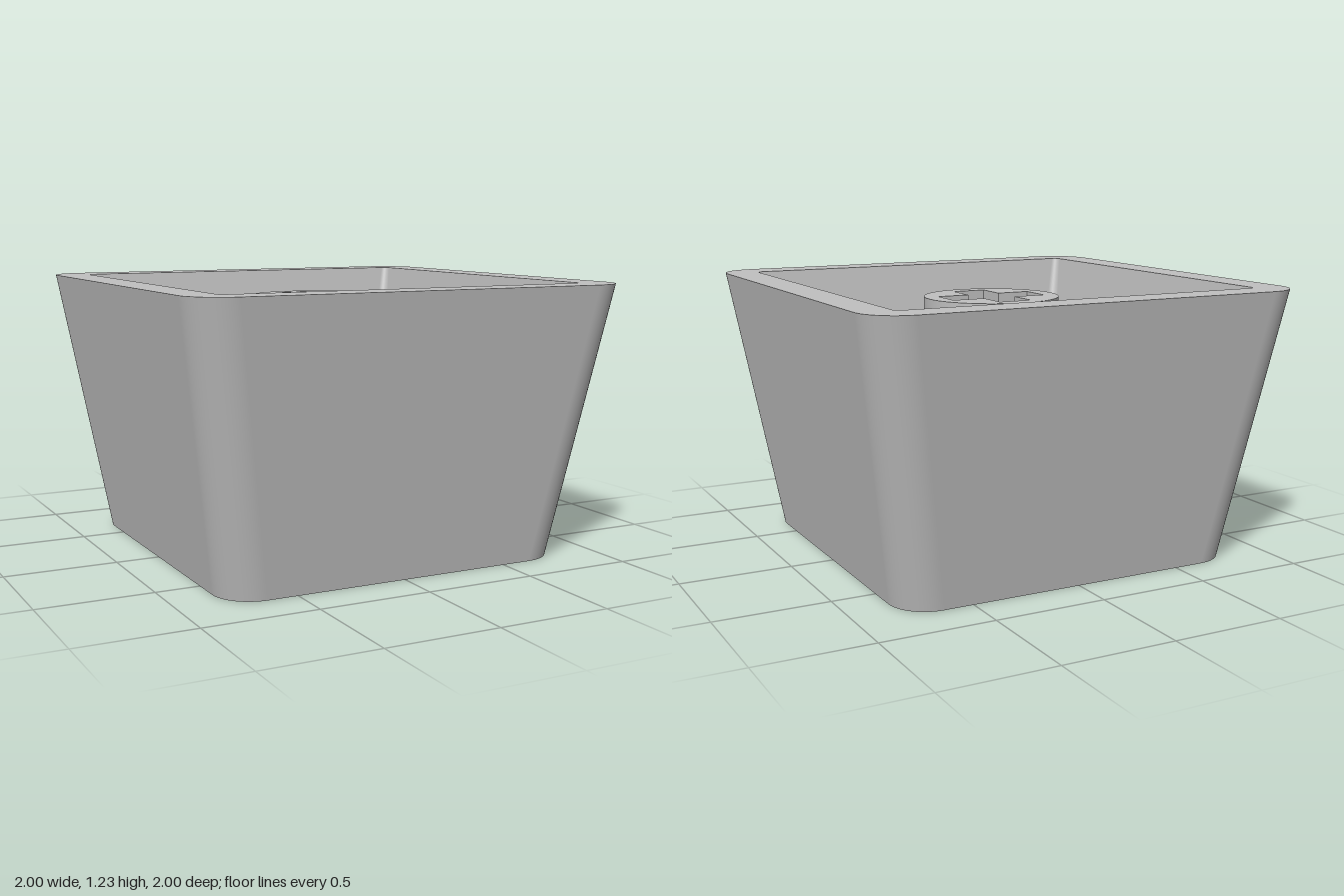
import * as THREE from 'three';
import { toCreasedNormals } from 'three/addons/utils/BufferGeometryUtils.js';

const HEIGHT = 1.225, FLOOR = 0.16, STEM_TOP = 1.15;

// Rounded square outline, counter-clockwise, with plan coordinates (x, -z)
function roundedSquare(half, radius, steps = 16) {
  const points = [];
  const c = half - radius;
  [[1, 1], [-1, 1], [-1, -1], [1, -1]].forEach(([sx, sy], k) => {
    for (let i = 0; i <= steps; i++) {
      const a = (k + i / steps) * Math.PI / 2;
      points.push(new THREE.Vector2(sx * c + radius * Math.cos(a), sy * c + radius * Math.sin(a)));
    }
  });
  return points;
}

// Smooth wall between two outlines; inward turns the faces to the inside
function wallBetween(low, yLow, high, yHigh, inward) {
  const n = low.length, positions = [], index = [];
  for (const [ring, y] of [[low, yLow], [high, yHigh]])
    for (const p of ring) positions.push(p.x, y, -p.y);
  for (let i = 0; i < n; i++) {
    const j = (i + 1) % n;
    if (inward) index.push(i, n + j, j, i, n + i, n + j);
    else index.push(i, j, n + j, i, n + j, n + i);
  }
  const g = new THREE.BufferGeometry();
  g.setAttribute('position', new THREE.Float32BufferAttribute(positions, 3));
  g.setIndex(index);
  g.computeVertexNormals();
  return g;
}

function ringShape(outer, inner) {
  const shape = new THREE.Shape(outer);
  shape.holes.push(new THREE.Path(inner));
  return shape;
}

// Upright extrusion of a plan shape
function prism(shape, depth, y) {
  const g = new THREE.ExtrudeGeometry(shape, { depth, bevelEnabled: false, curveSegments: 24 });
  g.rotateX(-Math.PI / 2).translate(0, y, 0);
  return toCreasedNormals(g, 0.6);
}

// Slot with round ends
function slotPath(x0, x1, z, r) {
  const path = new THREE.Path();
  path.absarc(x1 - r, -z, r, -Math.PI / 2, Math.PI / 2, false);
  path.absarc(x0 + r, -z, r, Math.PI / 2, Math.PI * 1.5, false);
  path.closePath();
  return path;
}

// Round head, straight stalk and short flag
function notePath() {
  const path = new THREE.Path();
  path.moveTo(0.15, -0.34);
  path.lineTo(0.15, -0.605);
  path.lineTo(0.25, -0.63);
  path.quadraticCurveTo(0.29, -0.64, 0.29, -0.675);
  path.quadraticCurveTo(0.29, -0.715, 0.25, -0.715);
  path.lineTo(0.12, -0.715);
  path.quadraticCurveTo(0.09, -0.715, 0.09, -0.685);
  path.lineTo(0.09, -0.418);
  path.absellipse(0.05, -0.335, 0.1, 0.09, -1.16, -Math.PI * 2, true, 0);
  path.closePath();
  return path;
}

export function createModel() {
  const grey = new THREE.MeshStandardMaterial({ color: 0xc0c0c0 });
  grey.name = 'light grey';
  const model = new THREE.Group();
  model.name = 'keycap';
  const add = (name, geometry) => {
    const mesh = new THREE.Mesh(geometry, grey);
    mesh.name = name;
    model.add(mesh);
  };

  const outerLow = roundedSquare(0.805, 0.17), outerHigh = roundedSquare(1, 0.175);
  const innerLow = roundedSquare(0.65, 0.08), innerHigh = roundedSquare(0.845, 0.03);

  // Tapered shell
  add('outerWall', wallBetween(outerLow, 0, outerHigh, HEIGHT, false));
  add('innerWall', wallBetween(innerLow, FLOOR, innerHigh, HEIGHT, true));
  const rim = new THREE.ShapeGeometry(ringShape(outerHigh, innerHigh));
  add('rim', rim.rotateX(-Math.PI / 2).translate(0, HEIGHT, 0));

  // Floor with cut-out symbol
  const floor = new THREE.Shape(outerLow);
  floor.holes.push(
    slotPath(-0.285, -0.105, 0.395, 0.032),
    slotPath(-0.285, 0.03, 0.528, 0.032),
    slotPath(-0.285, 0.03, 0.661, 0.032),
    notePath()
  );
  add('floor', prism(floor, FLOOR, 0));

  // Underside of the walls, closing the cut-outs that reach below them
  const underside = new THREE.ShapeGeometry(ringShape(roundedSquare(0.8, 0.17), innerLow));
  underside.scale(1, -1, 1);
  const idx = underside.index;
  for (let i = 0; i < idx.count; i += 3) {
    const a = idx.getX(i);
    idx.setX(i, idx.getX(i + 1));
    idx.setX(i + 1, a);
  }
  underside.rotateX(Math.PI / 2);
  const flipped = underside.index.array.slice();
  for (let i = 0; i < flipped.length; i += 3) [flipped[i], flipped[i + 1]] = [flipped[i + 1], flipped[i]];
  // Choose the winding that faces down
  const p = underside.attributes.position, v = [0, 1, 2].map(
    i => new THREE.Vector3().fromBufferAttribute(p, idx.getX(i)));
  const up = v[1].clone().sub(v[0]).cross(v[2].clone().sub(v[0])).y > 0;
  if (up) underside.setIndex(new THREE.BufferAttribute(flipped, 1));
  underside.computeVertexNormals();
  add('wallUnderside', underside.translate(0, FLOOR, 0));

  // Round stem with cross-shaped socket
  const stem = new THREE.Shape();
  stem.absarc(0, 0, 0.31, 0, Math.PI * 2, false);
  const a = 0.078, b = 0.232, cross = [];
  for (let k = 0; k < 4; k++)
    for (const [x, y] of [[b, -a], [b, a], [a, a]])
      cross.push(new THREE.Vector2(x, y).rotateAround(new THREE.Vector2(), k * Math.PI / 2));
  stem.holes.push(new THREE.Path(cross));
  add('stem', prism(stem, STEM_TOP - FLOOR, FLOOR));

  return model;
}
